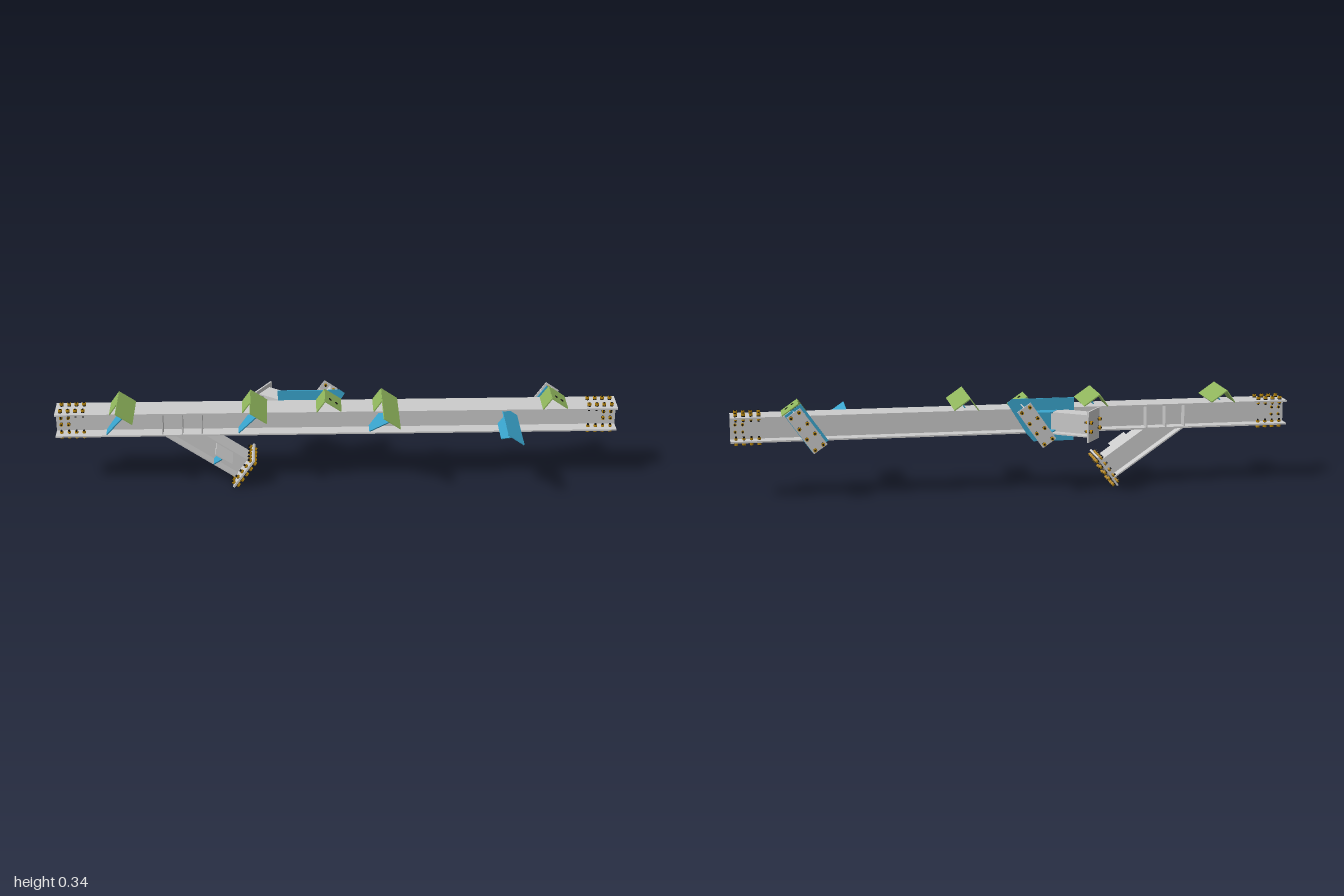
import * as THREE from 'three';

const mat = (color) => new THREE.MeshStandardMaterial({ color, side: THREE.DoubleSide });
const GREY = mat(0xcccccc), GREEN = mat(0x8fb55c), BLUE = mat(0x3aa6cf), GOLD = mat(0xb8860b), BLACK = mat(0x151515);
const TILT = THREE.MathUtils.degToRad(35);
const ZC = -0.0175; // centre plane of the beam
const T = 0.004; // plate thickness

function add(parent, name, geometry, material, x = 0, y = 0, z = 0) {
  const m = new THREE.Mesh(geometry, material);
  m.name = name;
  m.position.set(x, y, z);
  parent.add(m);
  return m;
}
const box = (parent, name, material, w, h, d, x, y, z) =>
  add(parent, name, new THREE.BoxGeometry(w, h, d), material, x, y, z);

function frame(parent, name, x, y, z, rotZ = 0, rotY = 0) {
  const g = new THREE.Group();
  g.name = name;
  g.position.set(x, y, z);
  g.rotation.set(0, rotY, rotZ);
  parent.add(g);
  return g;
}

const plate = (pts, depth) => new THREE.ExtrudeGeometry(
  new THREE.Shape(pts.map(([x, y]) => new THREE.Vector2(x, y))), { depth, bevelEnabled: false });

// plate standing in the local y-z plane, corners given as [z, y]
const finPlate = (pts) => plate(pts, T).translate(0, 0, -T / 2).rotateY(-Math.PI / 2);

// I-section along local x from x0 to x1, flanges on top and bottom
function iBeam(parent, name, x0, x1, depth, width, z = 0, tf = 0.006) {
  const g = frame(parent, name, (x0 + x1) / 2, 0, z);
  const len = x1 - x0;
  for (const s of [-1, 1]) box(g, 'flange', GREY, len, tf, width, 0, s * (depth - tf) / 2, 0);
  box(g, 'web', GREY, len, depth - 2 * tf, 0.005, 0, 0, 0);
  return g;
}

// hex bolt: head outside (+axis), dark washer and shank, nut inside
const headGeo = new THREE.CylinderGeometry(0.008, 0.008, 0.009, 6);
const washerGeo = new THREE.CylinderGeometry(0.0075, 0.0075, 0.004, 10);
const shankGeo = new THREE.CylinderGeometry(0.004, 0.004, 0.036, 8);
const nutGeo = new THREE.CylinderGeometry(0.007, 0.007, 0.007, 6);
function bolt(parent, x, y, z, axis, scale = 1) {
  const g = frame(parent, 'bolt', x, y, z);
  g.quaternion.setFromUnitVectors(new THREE.Vector3(0, 1, 0), new THREE.Vector3(...axis));
  g.scale.setScalar(scale);
  add(g, 'boltHead', headGeo, GOLD, 0, 0.0115, 0);
  add(g, 'boltWasher', washerGeo, BLACK, 0, 0.005, 0);
  add(g, 'boltShank', shankGeo, BLACK, 0, 0, 0);
  add(g, 'boltNut', nutGeo, GOLD, 0, -0.0085, 0);
}

// tilted seat plate with a fin plate below it; origin at the middle of the seat
function seat(parent, name, x, y, material, z0, z1, fin) {
  const g = frame(parent, name, x, y, 0, -TILT);
  box(g, 'seatPlate', material, 0.071, T, z1 - z0, 0, 0, (z0 + z1) / 2);
  if (fin) add(g, 'seatFin', finPlate(fin), BLUE);
  return g;
}

// stub reaching backwards, tilted with the seats, closed by a bolted end plate
function backStub(parent, x, zEnd) {
  const g = frame(parent, 'backStub', x, 0.26, 0, -TILT);
  const z0 = -0.07, len = z0 - zEnd, zm = (z0 + zEnd) / 2;
  box(g, 'stubWeb', GREY, T, 0.155, len, 0, 0, zm);
  for (const s of [-1, 1]) box(g, 'stubFlange', GREY, 0.055, T, len, 0, s * 0.045, zm);
  box(g, 'stubEndPlate', GREY, 0.058, 0.16, 0.005, 0, 0, zEnd);
  for (const sx of [-0.017, 0.017])
    for (const sy of [-0.07, -0.022, 0.022, 0.07]) bolt(g, sx, sy, zEnd, [0, 0, -1], 0.85);
}

export function createModel() {
  const root = new THREE.Group();
  root.name = 'steelBeamAssembly';

  // main beam
  const beam = frame(root, 'mainBeam', 0, 0.26, 0);
  iBeam(beam, 'beamSection', -1, 1, 0.09, 0.095, ZC);

  // splice bolts at both ends
  for (const s of [-1, 1]) {
    for (const x of [0.98, 0.953, 0.927, 0.9])
      for (const z of [0.009, -0.042])
        for (const v of [-1, 1]) bolt(beam, s * x, v * 0.042, z, [0, v, 0], 0.9);
    for (const x of [0.982, 0.956])
      for (const y of [-0.013, 0.013]) bolt(beam, s * x, y, ZC, [0, 0, 1], 0.8);
  }

  // web stiffeners above the brace
  for (const x of [-0.62, -0.55, -0.48]) box(beam, 'stiffener', GREY, T, 0.08, 0.09, x, 0, ZC);

  // green seats on the top flange: [x, front reach]
  for (const [x, reach] of [[-0.747, 0.11], [-0.278, 0.115], [0.188, 0.167], [-0.014, 0.03], [0.791, 0.03]]) {
    const long = reach > 0.05;
    const fin = long && [[ZC, 0], [reach - 0.02, 0], [0.03, -0.125], [ZC, -0.125]];
    const g = seat(root, 'topSeat', x, 0.327, GREEN, -0.066, reach, fin);
    box(g, 'seatSupport', GREEN, T, 0.052, 0.096, -0.034, -0.026, -0.018);
    if (!long) for (const sx of [-0.013, 0.013])
      add(g, 'boltHole', new THREE.CylinderGeometry(0.006, 0.006, 0.003, 12), BLACK, sx, 0.002, -0.005);
  }

  // blue seat on the front of the web
  seat(root, 'frontSeat', 0.617, 0.278, BLUE, ZC, 0.205,
    [[ZC, 0], [0.185, 0], [0.1, -0.065], [ZC, -0.065]]);

  // back connections
  add(root, 'backPlate', plate([[-0.21, 0.342], [0.012, 0.342], [0.03, 0.328], [-0.04, 0.215],
    [-0.065, 0.187], [-0.21, 0.187]], T), BLUE, 0, 0, -0.071);
  backStub(root, -0.063, -0.145);
  const strip = frame(root, 'backStrip', 0.737, 0.262, -0.069, -TILT);
  box(strip, 'backStripPlate', BLUE, 0.07, 0.162, T, 0, 0, 0);
  backStub(root, 0.737, -0.108);

  // angled side arm with its end plate, and the gusset beside it
  const arm = frame(root, 'sideArm', -0.262, 0.258, -0.16, 0, Math.PI - 0.591);
  iBeam(arm, 'armSection', -0.16, 0, 0.08, 0.065, 0, 0.005);
  box(arm, 'armEndPlate', GREY, 0.006, 0.11, 0.1, 0, 0, 0);
  for (const y of [-0.016, 0.016])
    for (const z of [-0.041, 0.041]) bolt(arm, 0, y, z, [1, 0, 0], 0.85);
  for (const y of [0.225, 0.295])
    add(root, 'armGusset', plate([[-0.15, 0.07], [-0.05, 0.07], [-0.05, 0.112], [-0.125, 0.112]], T)
      .rotateX(-Math.PI / 2), BLUE, 0, y, 0);

  // diagonal brace under the beam; origin at its end plate
  const brace = frame(root, 'brace', -0.335, 0.068, 0, -TILT);
  const half = 0.04;
  for (const s of [-1, 1]) {
    // each flange is cut where it meets the underside of the beam
    const start = -0.262 + s * half * Math.tan(Math.PI / 2 - TILT);
    box(brace, 'braceFlange', GREY, -start, 0.005, 0.077, start / 2, s * half, ZC);
  }
  const cut = half / Math.tan(TILT);
  add(brace, 'braceWeb', plate([[-0.262 - cut, -half], [0, -half], [0, half], [-0.262 + cut, half]], 0.005),
    GREY, 0, 0, ZC - 0.0025);
  const zp = -0.014;
  box(brace, 'braceEndPlate', GREY, 0.007, 0.13, 0.132, 0, 0, zp);
  for (let i = -2; i <= 2; i++)
    for (let j = -2; j <= 2; j++)
      if (Math.abs(i) === 2 || Math.abs(j) === 2) bolt(brace, 0, i * 0.0265, zp + j * 0.0265, [1, 0, 0]);
  for (const y of [-0.032, 0.032])
    for (const z of [-0.032, 0.032])
      add(brace, 'plateHole', new THREE.CylinderGeometry(0.004, 0.004, 0.002, 10).rotateZ(Math.PI / 2),
        BLACK, 0.0035, y, zp + z);

  // small seat on the front of the brace
  seat(root, 'braceSeat', -0.403, 0.152, GREY, ZC, 0.093,
    [[ZC, 0], [0.083, 0], [0.022, -0.072], [ZC, -0.072]]);

  return root;
}
